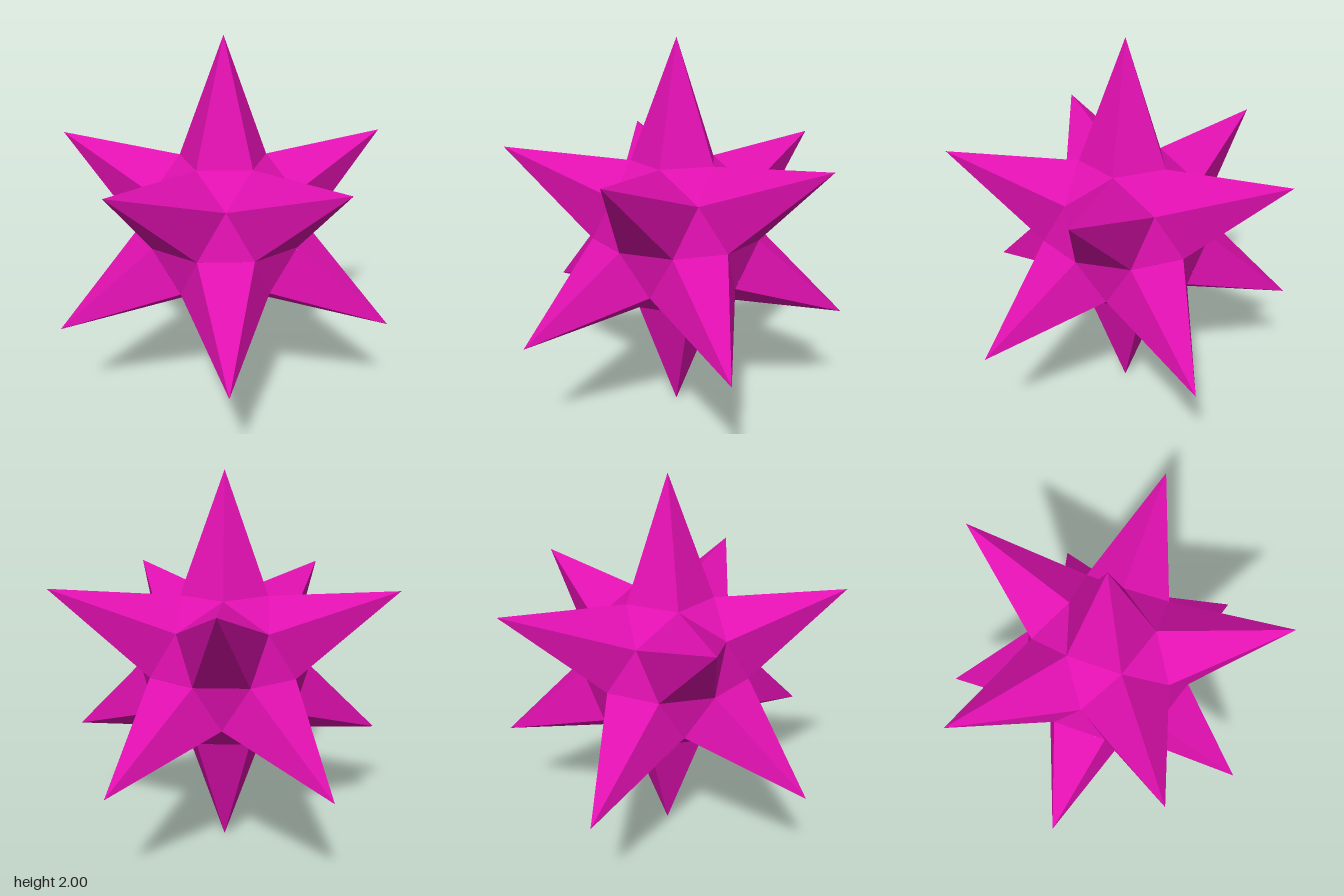
import * as THREE from 'three';
import { ConvexGeometry } from 'three/addons/geometries/ConvexGeometry.js';

const BASE_DISTANCE = 0.382; // centre to the pentagonal base of a spike
const BASE_RADIUS = 0.236;

// Twelve evenly spread directions: two poles and two staggered rings of five.
function spikeDirections() {
  const dirs = [new THREE.Vector3(0, 1, 0), new THREE.Vector3(0, -1, 0)];
  const y = 1 / Math.sqrt(5), r = 2 / Math.sqrt(5);
  for (let i = 0; i < 5; i++) {
    const a = (i * 2 * Math.PI) / 5;
    dirs.push(new THREE.Vector3(r * Math.cos(a), y, r * Math.sin(a)));
    dirs.push(new THREE.Vector3(-r * Math.cos(a), -y, -r * Math.sin(a)));
  }
  return dirs;
}

export function createModel() {
  const model = new THREE.Group();
  model.name = 'spikedStar';
  const material = new THREE.MeshStandardMaterial({ color: 0xe010b0, flatShading: true });
  const dirs = spikeDirections();
  const coreRadius = Math.hypot(BASE_DISTANCE, BASE_RADIUS);
  const corePoints = [];

  // Five-sided spike with its base lifted off the centre
  const height = 1 - BASE_DISTANCE;
  const spikeGeometry = new THREE.ConeGeometry(BASE_RADIUS, height, 5, 1, true);
  spikeGeometry.translate(0, BASE_DISTANCE + height / 2, 0);

  dirs.forEach((dir, i) => {
    const neighbours = dirs.filter((d) => d !== dir && d.dot(dir) > 0.1);

    // Core corners lie halfway between neighbouring spikes
    neighbours.forEach((n) => {
      if (dirs.indexOf(n) > i) corePoints.push(dir.clone().add(n).setLength(coreRadius));
    });

    // Turn the spike so that its base corners point at its neighbours
    const z = neighbours[0].clone().addScaledVector(dir, -neighbours[0].dot(dir)).normalize();
    const x = new THREE.Vector3().crossVectors(dir, z);
    const spike = new THREE.Mesh(spikeGeometry, material);
    spike.name = 'spike' + (i + 1);
    spike.quaternion.setFromRotationMatrix(new THREE.Matrix4().makeBasis(x, dir, z));
    spike.position.y = 1;
    model.add(spike);
  });

  // Core, showing as a triangle between every three spikes
  const core = new THREE.Mesh(new ConvexGeometry(corePoints), material);
  core.name = 'core';
  core.position.y = 1;
  model.add(core);
  return model;
}
